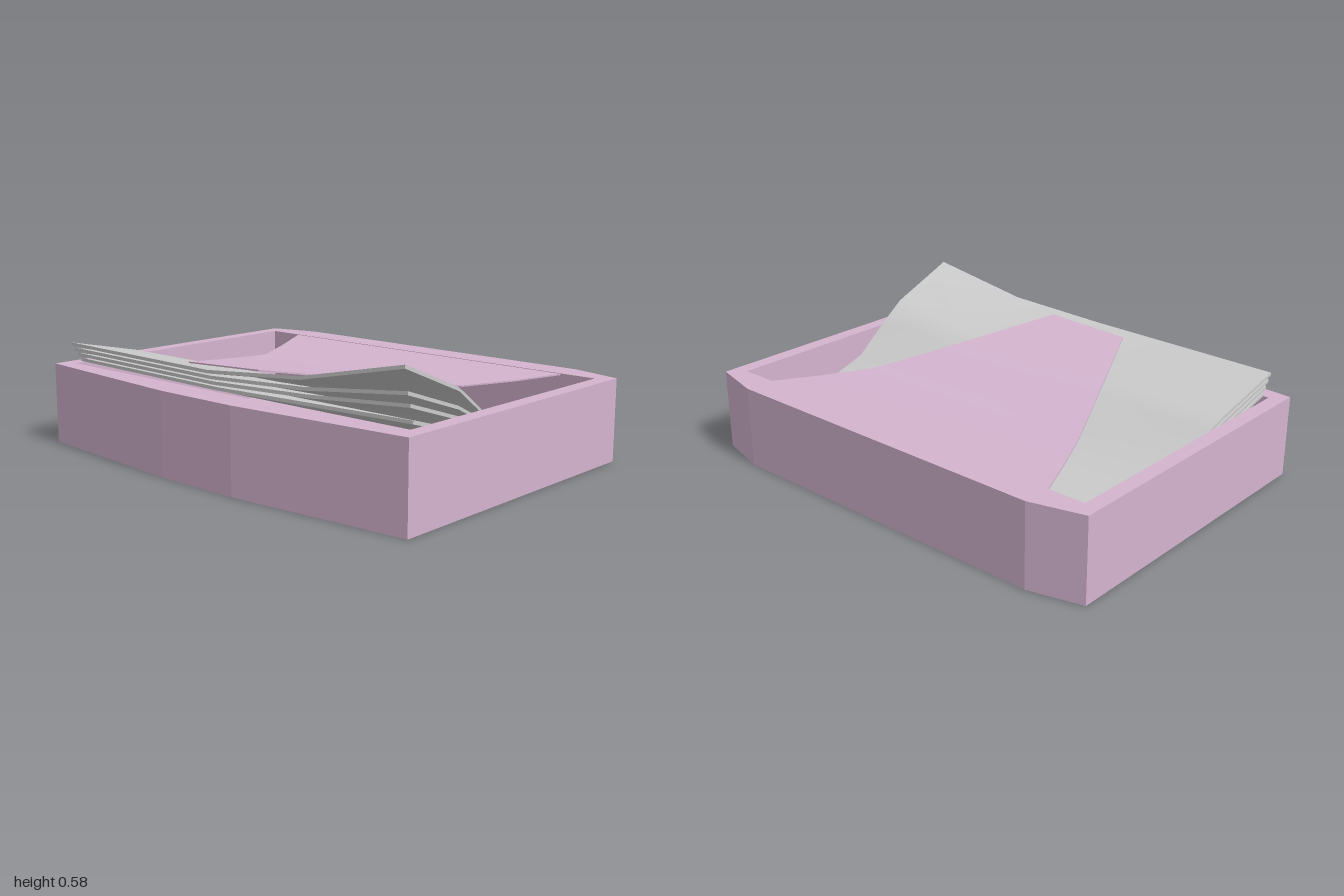
import * as THREE from 'three';

const pink = new THREE.MeshStandardMaterial({ color: 0xd4b4cf, side: THREE.DoubleSide });
const grey = new THREE.MeshStandardMaterial({ color: 0xcccccc, side: THREE.DoubleSide });

function addMesh(parent, name, geometry, material) {
  const mesh = new THREE.Mesh(geometry, material);
  mesh.name = name;
  parent.add(mesh);
}

// Points are [x, z]; the slab grows upward from y = 0
function slab(outline, height, hole) {
  const toPoints = (list) => list.map(([x, z]) => new THREE.Vector2(x, -z));
  const shape = new THREE.Shape(toPoints(outline));
  if (hole) shape.holes.push(new THREE.Path(toPoints(hole)));
  return new THREE.ExtrudeGeometry(shape, { depth: height, bevelEnabled: false }).rotateX(-Math.PI / 2);
}

// Moves each vertex of a unit box by rule(u, row, side): u -1..1 across, side 0 bottom or 1 top
function bentSlab(across, rows, rule) {
  const geometry = new THREE.BoxGeometry(2, 1, 1, across, 1, rows);
  const p = geometry.attributes.position;
  for (let i = 0; i < p.count; i++) {
    const row = Math.round((p.getZ(i) + 0.5) * rows);
    p.setXYZ(i, ...rule(p.getX(i), row, p.getY(i) + 0.5));
  }
  geometry.computeVertexNormals();
  return geometry;
}

// Sheet stations from back to front: z, height, share of the corner lift
const sheetRows = [
  [-0.62, 0.1, 0], [-0.5, 0.115, 0], [-0.2, 0.175, 0], [0.03, 0.25, 0],
  [0.19, 0.345, 0.25], [0.3, 0.378, 0.62], [0.68, 0.455, 1],
];

function sheet(index, lift) {
  return bentSlab(4, sheetRows.length - 1, (u, row, side) => {
    const [z, y, share] = sheetRows[row];
    const front = row === sheetRows.length - 1;
    const curl = u <= 0 ? 0 : u <= 0.5 ? 0.5 * u : 0.25 + 1.5 * (u - 0.5);
    const skew = front ? (u < 0 ? -0.03 * u : 0.07 * u) + 0.016 * index : 0;
    const gap = (z > 0.1 ? 0.025 : 0.017) * index;
    return [0.92 * u, y + lift * share * curl - gap - 0.014 * (1 - side), z - skew];
  });
}

// Flap stations from back to front: z, height, half width
const flapRows = [
  [-0.625, 0.354, 0.77], [-0.42, 0.342, 0.675], [-0.2, 0.337, 0.572],
  [0.05, 0.373, 0.456], [0.3, 0.412, 0.34], [0.6, 0.461, 0.2],
];

export function createModel() {
  const model = new THREE.Group();
  model.name = 'paperTray';

  // Tray walls and floor
  const outline = [
    [-1, 0.685], [-0.2, 0.75], [0.2, 0.75], [1, 0.685],
    [1, -0.69], [0.77, -0.75], [-0.77, -0.75], [-1, -0.69],
  ];
  const inside = [[-0.935, 0.62], [-0.935, -0.625], [0.935, -0.625], [0.935, 0.62]];
  addMesh(model, 'trayWalls', slab(outline, 0.356, inside), pink);
  addMesh(model, 'trayFloor', slab(outline, 0.03), pink);

  // Stack of sheets, curling up at the front left corner
  const sheets = new THREE.Group();
  sheets.name = 'paperStack';
  [0.127, 0.058, 0.036, 0].forEach((lift, i) => addMesh(sheets, `sheet${i + 1}`, sheet(i, lift), grey));
  model.add(sheets);

  // Tapered flap that holds the sheets down
  const flap = bentSlab(2, flapRows.length - 1, (u, row, side) => {
    const [z, y, half] = flapRows[row];
    const tilt = 0.009 * u * row / (flapRows.length - 1);
    return [u * half, y + tilt - 0.006 * (1 - side), z];
  });
  addMesh(model, 'holdDownFlap', flap, pink);
  return model;
}
